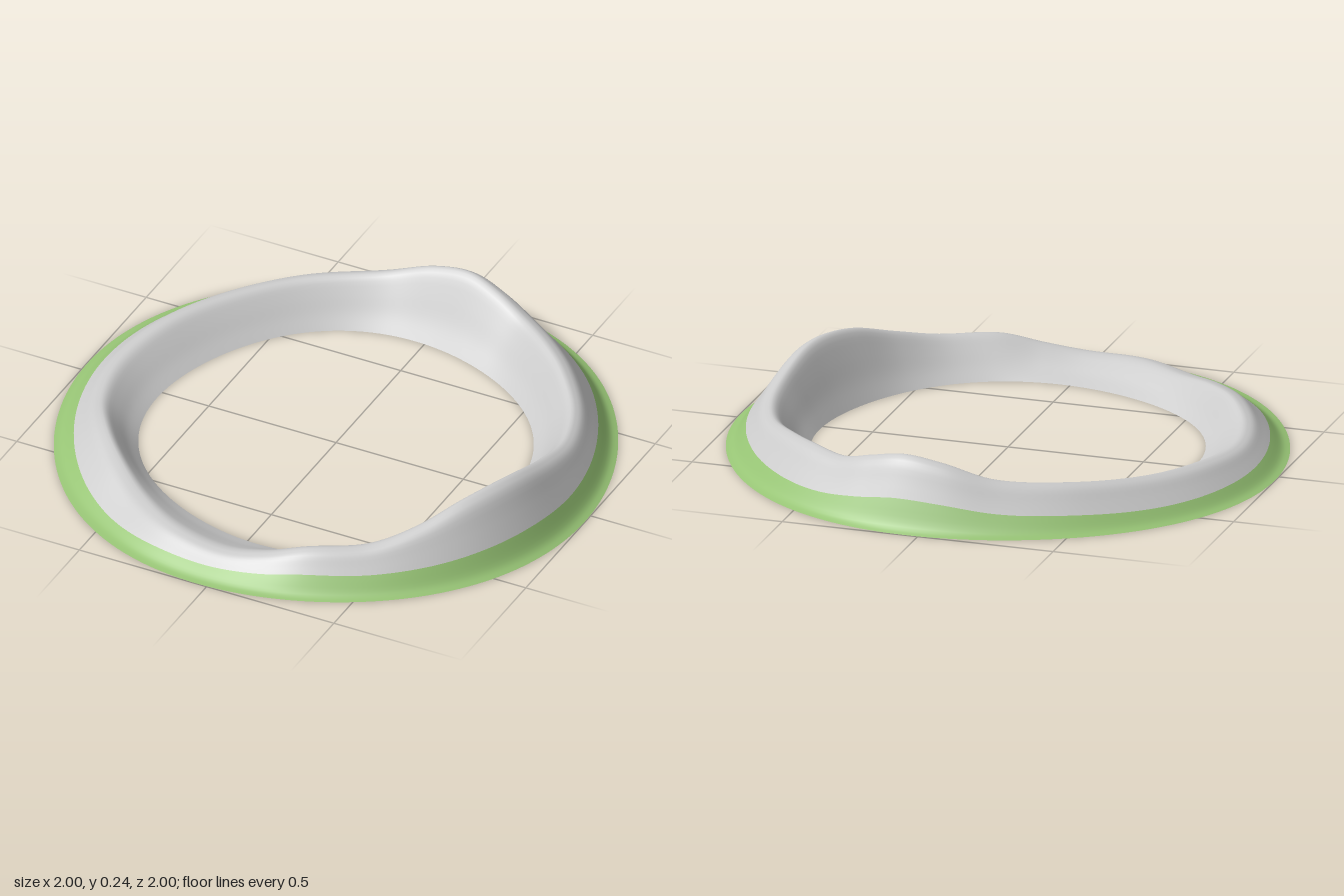
import * as THREE from 'three';

// Crest of the ring of hills: angle in degrees (0 = +x, 90 = +z), height, radius
const CREST = [
  [0, 0.19, 0.82], [12, 0.23, 0.82], [20, 0.24, 0.82], [30, 0.227, 0.82], [43, 0.175, 0.83],
  [55, 0.137, 0.84], [70, 0.128, 0.845], [80, 0.093, 0.85], [90, 0.072, 0.855], [105, 0.08, 0.845],
  [120, 0.083, 0.81], [134, 0.108, 0.80], [148, 0.122, 0.81], [163, 0.105, 0.83], [180, 0.10, 0.84],
  [198, 0.115, 0.83], [215, 0.125, 0.82], [235, 0.145, 0.82], [255, 0.17, 0.83], [267, 0.222, 0.84],
  [277, 0.242, 0.845], [286, 0.215, 0.84], [295, 0.18, 0.835], [308, 0.175, 0.82], [318, 0.168, 0.82],
  [333, 0.15, 0.83], [348, 0.155, 0.83],
];
// Slopes: fraction of the way across, fraction of the crest height
const INNER = [[0, 0], [0.3, 0.3], [0.6, 0.66], [0.85, 0.94], [1, 1]];
const OUTER = [[0, 1], [0.2, 0.91], [0.4, 0.65], [0.6, 0.38], [0.82, 0.09], [1, 0]];
const SEGMENTS = 240, INNER_ROWS = 14, ROCK_ROWS = 10, GRASS_ROWS = 8, GRASS_WIDTH = 0.07;

const spline = (pts) => new THREE.SplineCurve(pts.map(([x, y]) => new THREE.Vector2(x, y)));

// Height on a slope at fraction f, read from a densely sampled spline
function slope(pts) {
  const samples = spline(pts).getPoints(100);
  return (f) => {
    let i = 1;
    while (i < 100 && samples[i].x < f) i++;
    const a = samples[i - 1], b = samples[i];
    return THREE.MathUtils.lerp(a.y, b.y, THREE.MathUtils.clamp((f - a.x) / (b.x - a.x), 0, 1));
  };
}

export function createModel() {
  const group = new THREE.Group();
  group.name = 'hillRing';
  const innerHeight = slope(INNER), outerHeight = slope(OUTER);
  const crest = new THREE.CatmullRomCurve3(CREST.map(([deg, h, r]) => {
    const a = THREE.MathUtils.degToRad(deg);
    return new THREE.Vector3(r * Math.cos(a), h, r * Math.sin(a));
  }), true);

  // One cross-section per step round the ring, from the inner edge to the outer rim
  const rows = INNER_ROWS + ROCK_ROWS + GRASS_ROWS + 1;
  const positions = [];
  for (let i = 0; i < SEGMENTS; i++) {
    const p = crest.getPointAt(i / SEGMENTS);
    const a = Math.atan2(p.z, p.x), ridge = Math.hypot(p.x, p.z);
    const inside = 0.683 - 0.01 * Math.sin(4 * a), rim = 0.998 + 0.01 * Math.sin(4 * a);
    const grass = rim - GRASS_WIDTH;
    for (let j = 0; j < rows; j++) {
      let r, y;
      if (j <= INNER_ROWS) {
        const f = j / INNER_ROWS;
        r = THREE.MathUtils.lerp(inside, ridge, f);
        y = innerHeight(f);
      } else {
        const k = j - INNER_ROWS;
        r = k <= ROCK_ROWS
          ? THREE.MathUtils.lerp(ridge, grass, k / ROCK_ROWS)
          : THREE.MathUtils.lerp(grass, rim, (k - ROCK_ROWS) / GRASS_ROWS);
        y = outerHeight((r - ridge) / (rim - ridge));
      }
      positions.push(r * Math.cos(a), Math.max(0, y * p.y), r * Math.sin(a));
    }
  }

  // Triangles between two rows of the closed ring
  const band = (from, to) => {
    const index = [];
    for (let i = 0; i < SEGMENTS; i++) {
      const n = (i + 1) % SEGMENTS;
      for (let j = from; j < to; j++) {
        const a = i * rows + j, b = n * rows + j;
        index.push(a, b, a + 1, b, b + 1, a + 1);
      }
    }
    return index;
  };

  // Shared normals keep the join between rock and grass smooth
  const whole = new THREE.BufferGeometry();
  whole.setAttribute('position', new THREE.Float32BufferAttribute(positions, 3));
  whole.setIndex(band(0, rows - 1));
  whole.computeVertexNormals();

  const addBand = (name, color, from, to) => {
    const geometry = whole.clone();
    geometry.setIndex(band(from, to));
    const mesh = new THREE.Mesh(geometry, new THREE.MeshStandardMaterial({ color, side: THREE.DoubleSide }));
    mesh.name = name;
    group.add(mesh);
  };
  const grassRow = INNER_ROWS + ROCK_ROWS;
  addBand('rockRidge', 0xcccccc, 0, grassRow);
  addBand('grassSlope', 0x97c475, grassRow, rows - 1);
  return group;
}
